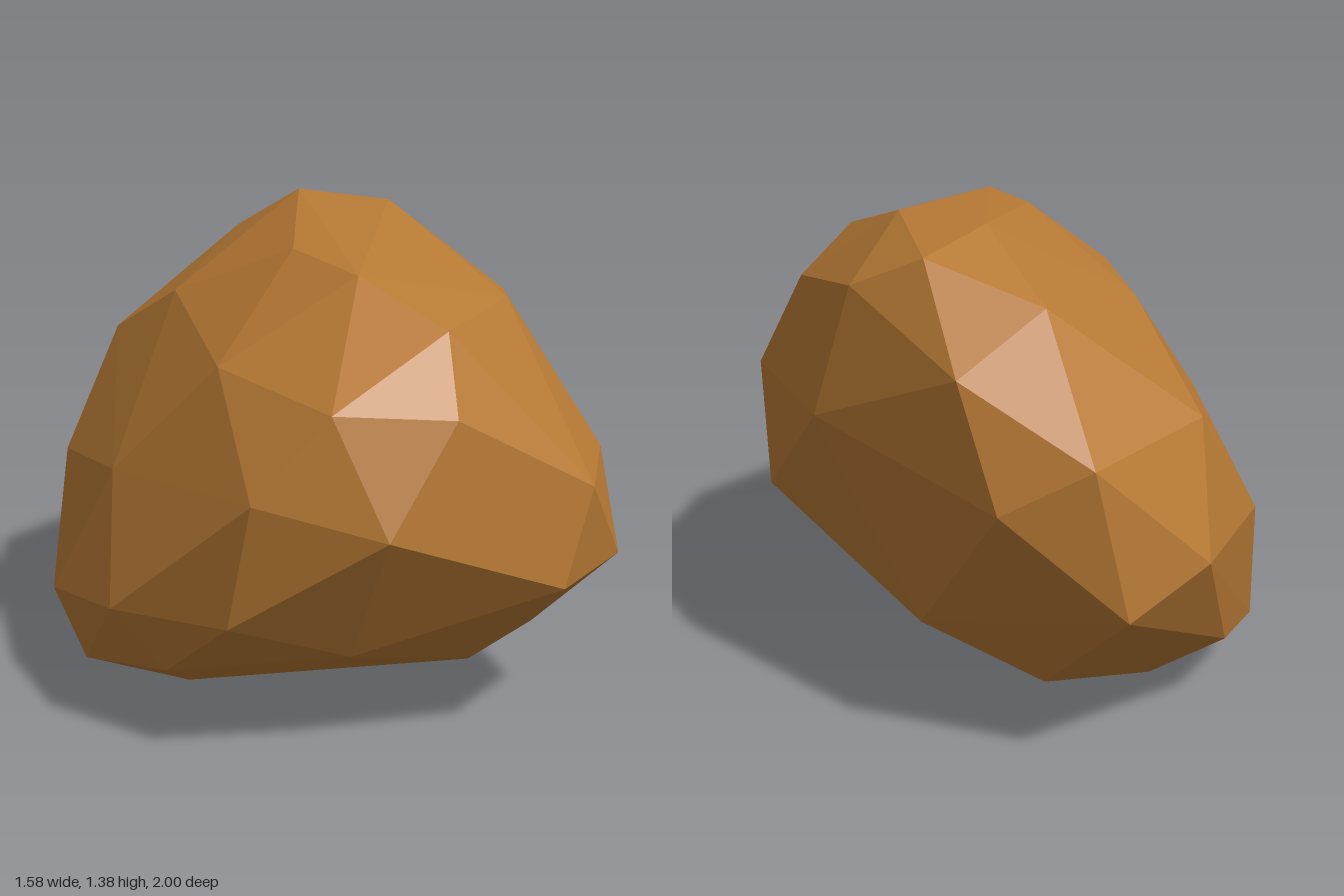
import * as THREE from 'three';
import { ConvexGeometry } from 'three/addons/geometries/ConvexGeometry.js';

// Corners of the faceted boulder, grouped by the side they shape
const frontCorners = [
  [0.10, 0.685, 1.0], [0.59, 0.475, 0.77], [0.67, 0.74, 0.72], [0.28, 0.97, 0.90], [-0.04, 1.0, 0.95],
  [0.27, 1.17, 0.77], [-0.24, 0.77, 0.94], [-0.30, 0.415, 0.85], [0.03, 0.29, 0.74],
];
const topCorners = [
  [0.06, 1.28, 0.57], [-0.31, 1.05, 0.60], [-0.09, 1.30, 0.23], [0.48, 1.19, 0.41], [0.55, 1.13, -0.05],
  [0.23, 1.37, -0.26], [-0.03, 1.38, -0.46], [-0.42, 1.12, -0.15], [0.11, 1.33, -0.66], [0.32, 1.23, -0.56],
  [-0.21, 1.23, -0.75],
];
const sideCorners = [
  [0.79, 0.49, 0.52], [0.77, 0.75, 0.34], [0.69, 0.44, 0.07], [0.43, 0.86, -0.53],
  [-0.61, 0.92, -0.63], [-0.60, 0.71, 0.35], [-0.77, 0.58, -0.37], [-0.79, 0.30, 0.15], [-0.61, 0.38, 0.57],
];
const backCorners = [
  [0, 1.08, -0.9], [-0.35, 0.89, -1.0], [-0.11, 0.76, -0.99], [-0.64, 0.59, -0.82], [-0.44, 0.48, -0.97],
  [0.13, 0.32, -0.65], [-0.21, 0.16, -0.66],
];
const baseCorners = [
  [0.59, 0.22, 0.32], [0.38, 0.18, 0.5], [0.18, 0.065, 0], [-0.49, 0, -0.24], [-0.70, 0.09, 0.18],
  [-0.40, 0.05, 0.28], [-0.46, 0.21, 0.60], [-0.78, 0.17, -0.16], [-0.70, 0.20, -0.42],
];

export function createModel() {
  const group = new THREE.Group();
  group.name = 'boulder';

  const stone = new THREE.MeshStandardMaterial({ color: 0xb87a35, flatShading: true });
  stone.name = 'ochre stone';

  // One closed hull with flat facets
  const corners = [frontCorners, topCorners, sideCorners, backCorners, baseCorners]
    .flat()
    .map(([x, y, z]) => new THREE.Vector3(x, y, z));
  const rock = new THREE.Mesh(new ConvexGeometry(corners), stone);
  rock.name = 'rock';
  group.add(rock);

  return group;
}
